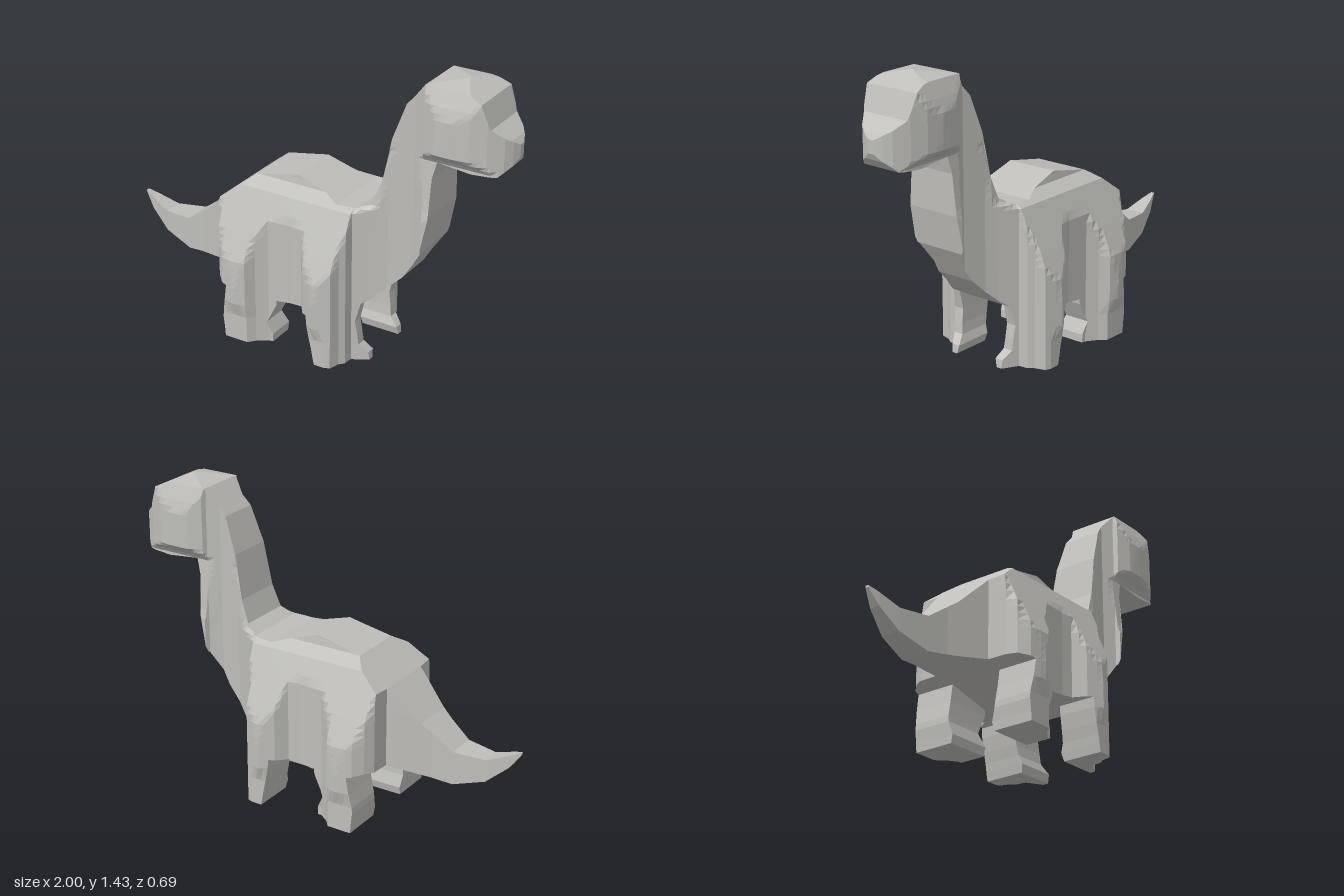
import * as THREE from 'three';

// Outline curves, each a short list of [position, value].
const HALF_WIDTH_X = [[-1, 0.008], [-0.95, 0.025], [-0.85, 0.048], [-0.6, 0.09], [-0.43, 0.14], [-0.4, 0.148],
  [-0.395, 0.24], [-0.37, 0.285], [-0.33, 0.325], [-0.25, 0.345], [-0.2, 0.33], [-0.17, 0.285], [-0.12, 0.25],
  [0, 0.243], [0.06, 0.25], [0.1, 0.305], [0.17, 0.342], [0.25, 0.31], [0.265, 0.26], [0.285, 0.235],
  [0.29, 0.19], [0.38, 0.14], [0.43, 0.115], [0.54, 0.09], [0.595, 0.12], [0.605, 0.14], [0.67, 0.168],
  [0.74, 0.174], [0.83, 0.16], [0.9, 0.13], [0.96, 0.085], [0.985, 0.05], [1, 0.015]];
const HALF_WIDTH_Y = [[0, 0.32], [0.13, 0.32], [0.2, 0.342], [0.28, 0.345], [0.42, 0.335], [0.55, 0.283],
  [0.75, 0.2], [0.79, 0.135], [0.82, 0.13], [1, 0.115], [1.06, 0.11], [1.08, 0.125], [1.12, 0.17], [1.28, 0.173],
  [1.34, 0.155], [1.41, 0.128], [1.436, 0.002]];
const TOP = [[-1, 0.46], [-0.85, 0.4], [-0.7, 0.41], [-0.55, 0.52], [-0.4, 0.67], [-0.25, 0.79], [-0.03, 0.835],
  [0.2, 0.765], [0.3, 0.77], [0.36, 0.805], [0.4, 0.91], [0.44, 1.12], [0.5, 1.29], [0.6, 1.41], [0.75, 1.435],
  [0.87, 1.38], [0.91, 1.27], [0.98, 1.215], [1, 1.19]];
const BOTTOM = [[-1, 0.45], [-0.95, 0.38], [-0.85, 0.295], [-0.7, 0.25], [-0.55, 0.27], [-0.37, 0.298],
  [-0.3, 0.28], [-0.07, 0.225], [0.12, 0.245], [0.32, 0.29], [0.37, 0.325], [0.5, 0.45], [0.6, 0.61],
  [0.635, 0.79], [0.64, 0.98], [0.66, 1.06], [0.82, 1.045], [0.94, 1.055], [0.985, 1.1], [1, 1.13]];

// Legs: [y, back x, front x, inner z]
const REAR_LEG = [[0, -0.32, -0.1, 0.12], [0.04, -0.323, -0.1, 0.11], [0.1, -0.33, -0.13, 0.128],
  [0.13, -0.328, -0.115, 0.13], [0.2, -0.315, -0.08, 0.132], [0.3, -0.3, -0.07, 0.132]];
const FRONT_LEG = [[0, 0.17, 0.365, 0.12], [0.04, 0.162, 0.36, 0.11], [0.08, 0.155, 0.32, 0.125],
  [0.13, 0.143, 0.315, 0.13], [0.2, 0.13, 0.305, 0.132], [0.31, 0.12, 0.33, 0.132]];

function at(curve, t) {
  if (t <= curve[0][0]) return curve[0][1];
  for (let i = 1; i < curve.length; i++) {
    const [a, va] = curve[i - 1], [b, vb] = curve[i];
    if (t <= b) return va + (vb - va) * (t - a) / (b - a);
  }
  return curve[curve.length - 1][1];
}

// All breakpoints of some curves, filled in at a regular step.
function stations(curves, step) {
  const all = new Set(curves.flat().map((p) => p[0]));
  const list = [...all].sort((a, b) => a - b);
  const out = [];
  list.forEach((v, i) => {
    out.push(v);
    if (i === list.length - 1) return;
    const n = Math.ceil((list[i + 1] - v) / step);
    for (let k = 1; k < n; k++) out.push(v + (list[i + 1] - v) * k / n);
  });
  return out;
}

const halfWidth = (x, y) => Math.min(at(HALF_WIDTH_X, x), at(HALF_WIDTH_Y, y));
const clamp = THREE.MathUtils.clamp;

// Faceted skin over closed rings; each ring is two matching halves, so the ends close with strips.
function loft(rings, mirror = false) {
  const pos = [];
  const tri = (a, b, c) => {
    const area = new THREE.Vector3().subVectors(b, a).cross(new THREE.Vector3().subVectors(c, a));
    if (area.length() < 1e-8) return;
    for (const p of mirror ? [a, c, b] : [a, b, c]) pos.push(p.x, p.y, mirror ? -p.z : p.z);
  };
  const quad = (a, b, c, d) => { tri(a, b, c); tri(a, c, d); };
  const n = rings[0].length;
  for (let i = 0; i < rings.length - 1; i++) {
    for (let j = 0; j < n; j++) {
      const k = (j + 1) % n;
      quad(rings[i][j], rings[i + 1][j], rings[i + 1][k], rings[i][k]);
    }
  }
  const first = rings[0], last = rings[rings.length - 1];
  for (let j = 0; j < n / 2 - 1; j++) {
    quad(first[j], first[j + 1], first[n - 2 - j], first[n - 1 - j]);
    quad(last[n - 1 - j], last[n - 2 - j], last[j + 1], last[j]);
  }
  const geometry = new THREE.BufferGeometry();
  geometry.setAttribute('position', new THREE.Float32BufferAttribute(pos, 3));
  geometry.computeVertexNormals();
  return geometry;
}

// Upright slices from the tail tip to the nose.
function bodyGeometry() {
  const levels = stations([HALF_WIDTH_Y], 0.04);
  const rings = stations([HALF_WIDTH_X, TOP, BOTTOM], 0.04).map((x) => {
    const low = at(BOTTOM, x), high = at(TOP, x);
    const side = levels.map((l) => {
      const y = clamp(l, low, high);
      return new THREE.Vector3(x, y, halfWidth(x, y));
    });
    return [...side, ...side.map((p) => new THREE.Vector3(p.x, p.y, -p.z)).reverse()];
  });
  return loft(rings);
}

// Level slices from the foot up into the belly.
function legGeometry(rows, mirror) {
  const columns = stations([HALF_WIDTH_X], 0.03).reverse();
  const rings = rows.map(([y, back, front, inner]) => {
    const xs = columns.map((c) => clamp(c, back, front));
    const outer = xs.map((x) => new THREE.Vector3(x, y, Math.max(inner + 0.01, halfWidth(x, y))));
    return [...outer, ...xs.map((x) => new THREE.Vector3(x, y, inner)).reverse()];
  });
  return loft(rings, mirror);
}

export function createModel() {
  const group = new THREE.Group();
  group.name = 'longNeckedDinosaur';
  const skin = new THREE.MeshStandardMaterial({ color: 0xbfbeba });
  skin.name = 'paleGreySkin';
  const add = (name, geometry) => {
    const mesh = new THREE.Mesh(geometry, skin);
    mesh.name = name;
    group.add(mesh);
  };

  add('tailBodyNeckAndHead', bodyGeometry());
  for (const [side, mirror] of [['near', false], ['far', true]]) {
    add(`${side}RearLeg`, legGeometry(REAR_LEG, mirror));
    add(`${side}FrontLeg`, legGeometry(FRONT_LEG, mirror));
  }
  return group;
}
